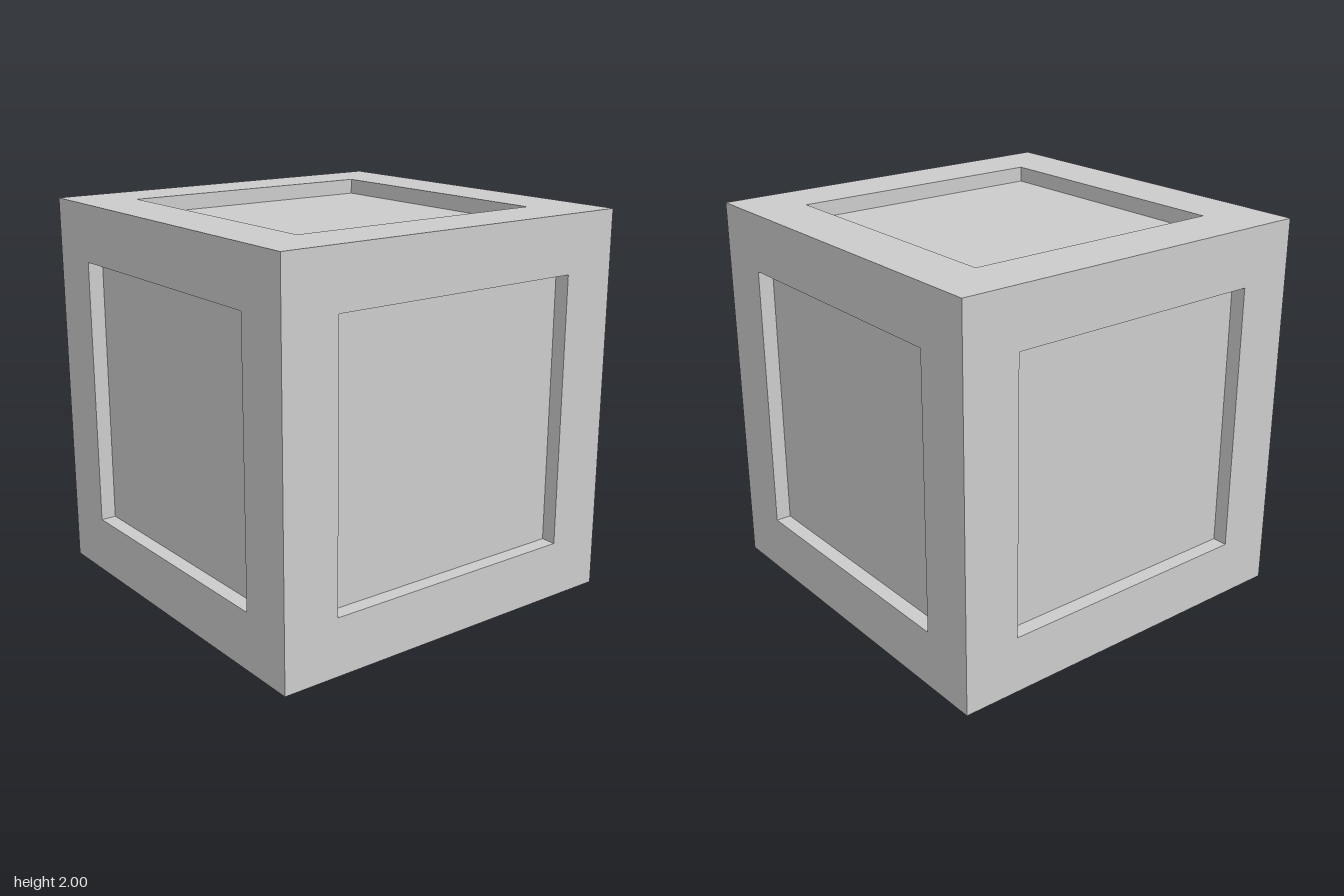
import * as THREE from 'three';
import { mergeGeometries } from 'three/addons/utils/BufferGeometryUtils.js';

const HALF = 1;       // half the cube's edge
const INNER = 0.703;  // half the recess opening
const DEPTH = 0.08;   // recess depth

function square(path, h) {
  path.moveTo(-h, -h);
  path.lineTo(h, -h);
  path.lineTo(h, h);
  path.lineTo(-h, h);
  path.closePath();
  return path;
}

export function createModel() {
  const grey = new THREE.MeshStandardMaterial({ color: 0xcccccc });
  grey.name = 'light grey';

  // Flat border around the square opening
  const shape = square(new THREE.Shape(), HALF);
  shape.holes.push(square(new THREE.Path(), INNER));
  const border = new THREE.ShapeGeometry(shape).translate(0, 0, HALF);

  // Four walls of the recess, facing inwards
  const walls = [];
  for (let i = 0; i < 4; i++) {
    walls.push(new THREE.PlaneGeometry(2 * INNER, DEPTH)
      .rotateX(-Math.PI / 2)
      .translate(0, -INNER, HALF - DEPTH / 2)
      .rotateZ(i * Math.PI / 2));
  }
  const recess = mergeGeometries(walls);

  // Sunken panel
  const panel = new THREE.PlaneGeometry(2 * INNER, 2 * INNER).translate(0, 0, HALF - DEPTH);

  const cube = new THREE.Group();
  cube.name = 'panelledCube';
  const sides = [
    ['front', 0, 0], ['left', 0, 1], ['back', 0, 2], ['right', 0, 3],
    ['top', -1, 0], ['bottom', 1, 0],
  ];
  for (const [name, rx, ry] of sides) {
    const side = new THREE.Group();
    side.name = name + 'Side';
    for (const [part, geometry] of [['Frame', border], ['RecessWalls', recess], ['Panel', panel]]) {
      const mesh = new THREE.Mesh(geometry, grey);
      mesh.name = name + part;
      side.add(mesh);
    }
    side.rotation.set(rx * Math.PI / 2, ry * Math.PI / 2, 0);
    side.position.y = HALF;
    cube.add(side);
  }
  return cube;
}
